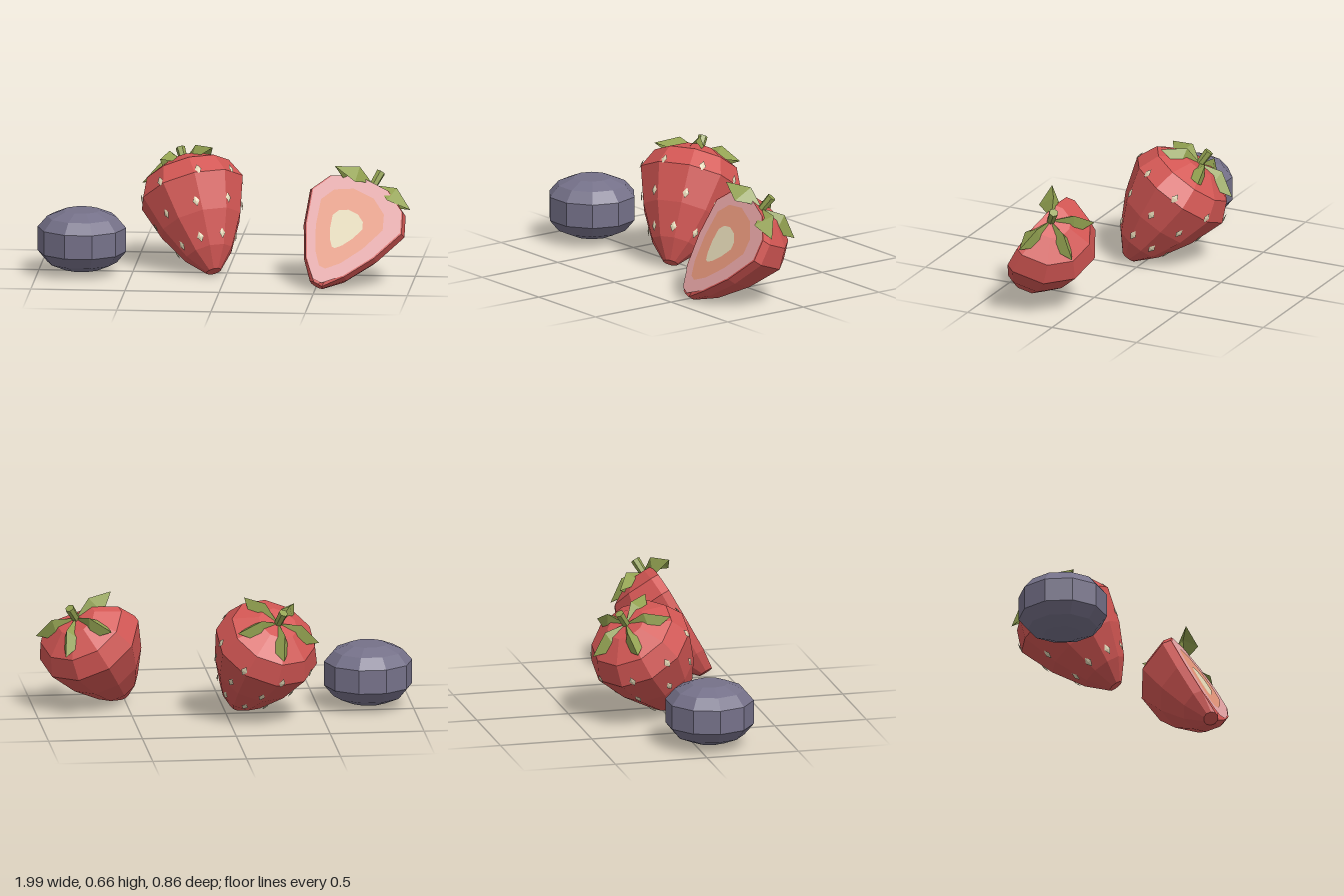
import * as THREE from 'three';

const mat = (name, color, extra = {}) => {
  const m = new THREE.MeshStandardMaterial({ color, flatShading: true, ...extra });
  m.name = name;
  return m;
};
const red = mat('berry red', 0xd25653);
const blue = mat('dusky blue', 0x757189);
const green = mat('leaf green', 0x92a150, { side: THREE.DoubleSide });
const pink = mat('flesh pink', 0xe0a0a1);
const orange = mat('flesh orange', 0xe19378);
const cream = mat('cream', 0xded3b2);

const rad = THREE.MathUtils.degToRad;
const SIDES = 10;
const CUT = 0.045; // distance of the cut plane in front of the half berry's axis

// Strawberry profiles: [radius, distance from tip]
const PROFILE = [[0.04, 0], [0.13, 0.1], [0.222, 0.27], [0.286, 0.463], [0.235, 0.573], [0.108, 0.645]];
const HALF_PROFILE = PROFILE.map(([r, d]) => [r, d * 0.965]);

function add(parent, name, geometry, material) {
  const mesh = new THREE.Mesh(geometry, material);
  mesh.name = name;
  parent.add(mesh);
  return mesh;
}

// Closed, faceted body of revolution with corners on the x axis
function lathe(profile) {
  const first = profile[0], last = profile[profile.length - 1];
  const points = [[0, first[1]], ...profile, [0, last[1]]].map(([r, y]) => new THREE.Vector2(r, y));
  return new THREE.LatheGeometry(points, SIDES, rad(18));
}

// Flatten the front of a body onto the cut plane, sliding outer corners along their edges
function sliceFront(geometry) {
  const p = geometry.attributes.position;
  for (let i = 0; i < p.count; i++) {
    const x = p.getX(i), z = p.getZ(i), r = Math.hypot(x, z);
    if (z <= CUT) continue;
    if (Math.abs(x) > 0.5 * r) p.setX(i, Math.sign(x) * (r + (Math.abs(x) - r) * CUT / z));
    p.setZ(i, CUT);
  }
  return geometry;
}

function radiusAt(d) {
  const i = PROFILE.findIndex(([, end]) => d < end);
  const [r0, d0] = PROFILE[i - 1], [r1, d1] = PROFILE[i];
  return r0 + (r1 - r0) * (d - d0) / (d1 - d0);
}

// Pointed leaf folded along a raised centre ridge
function leafGeometry() {
  const base = [0, 0.65, 0.015], ridge = [0, 0.685, 0.12], tip = [0, 0.61, 0.245];
  const left = [-0.06, 0.588, 0.125], right = [0.06, 0.588, 0.125];
  const faces = [base, left, ridge, ridge, left, tip, base, ridge, right, ridge, tip, right];
  const g = new THREE.BufferGeometry();
  g.setAttribute('position', new THREE.Float32BufferAttribute(faces.flat(), 3));
  g.computeVertexNormals();
  return g;
}

// Stem and a ring of leaves at the given angles
function addCrown(berry, angles, y) {
  const crown = new THREE.Group();
  crown.name = 'crown';
  crown.position.y = y;
  berry.add(crown);
  const stem = add(crown, 'stem', new THREE.CylinderGeometry(0.025, 0.021, 0.11, 6), green);
  stem.position.y = 0.672;
  const geo = leafGeometry();
  for (const a of angles) add(crown, 'leaf', geo, green).rotation.y = rad(a);
}

// Three staggered rows of thin diamond seeds
function addSeeds(berry) {
  const geo = new THREE.OctahedronGeometry(1).scale(0.018, 0.029, 0.004);
  for (const [d, phase] of [[0.48, 32], [0.32, 21], [0.15, 12]]) {
    const slope = (radiusAt(d + 0.03) - radiusAt(d - 0.03)) / 0.06;
    for (let i = 0; i < 8; i++) {
      const deg = phase + i * 45;
      const off = deg - Math.round(deg / 36) * 36;
      const r = radiusAt(d) * Math.cos(rad(18)) / Math.cos(rad(off)) + 0.008;
      const seed = add(berry, 'seed', geo, cream);
      seed.position.set(r * Math.sin(rad(deg)), d, r * Math.cos(rad(deg)));
      seed.rotation.set(Math.atan(slope) * 0.6, rad(deg), 0, 'YXZ');
    }
  }
}

// Flat layer of the cut face: outline scaled about a point on the axis, then shifted sideways
function cutGeometry(sx, sy, shift, lift) {
  const centre = 0.325;
  const edge = HALF_PROFILE.map(([r, d], i) => [i ? r - 0.023 : 0.027, i ? d : 0.012]);
  const half = edge.map(([x, d]) => [x * sx, centre + (d - centre) * sy]);
  const outline = [...half, ...half.slice().reverse().map(([x, y]) => [-x, y])];
  const shape = new THREE.Shape(outline.map(([x, y]) => new THREE.Vector2(x + shift, y)));
  return new THREE.ShapeGeometry(shape).translate(0, 0, CUT + lift);
}

export function createModel() {
  const model = new THREE.Group();
  model.name = 'berries';

  // Blueberry
  const blueProfile = [[0.1, 0.027], [0.185, 0.062], [0.235, 0.122], [0.235, 0.25], [0.185, 0.308], [0.1, 0.343]];
  add(model, 'blueberry', lathe(blueProfile), blue).position.set(-0.765, 0, 0.075);

  // Whole strawberry, leaning back
  const whole = new THREE.Group();
  whole.name = 'wholeStrawberry';
  add(whole, 'body', lathe(PROFILE), red);
  addSeeds(whole);
  addCrown(whole, [17, 89, 161, 233, 305], 0);
  whole.position.set(-0.065, 0.024, 0.08);
  whole.rotation.set(-0.627, 0.513, 0, 'YXZ');
  model.add(whole);

  // Halved strawberry with layered cut face
  const half = new THREE.Group();
  half.name = 'halfStrawberry';
  add(half, 'body', sliceFront(lathe(HALF_PROFILE)), red);
  add(half, 'cutRim', cutGeometry(1, 1, 0, 0.002), pink);
  add(half, 'cutFlesh', cutGeometry(0.71, 0.75, -0.012, 0.004), orange);
  add(half, 'cutCore', cutGeometry(0.34, 0.36, -0.012, 0.006), cream);
  addCrown(half, [85, 157, 226, 304], -0.02);
  const axis = new THREE.Vector3(0.448, 0.784, -0.432).normalize();
  const side = axis.clone().cross(new THREE.Vector3(0, 0.483, 0.876)).normalize();
  const normal = side.clone().cross(axis);
  half.quaternion.setFromRotationMatrix(new THREE.Matrix4().makeBasis(side, axis, normal));
  half.position.set(0.508, 0.024, 0.383);
  model.add(half);

  return model;
}
